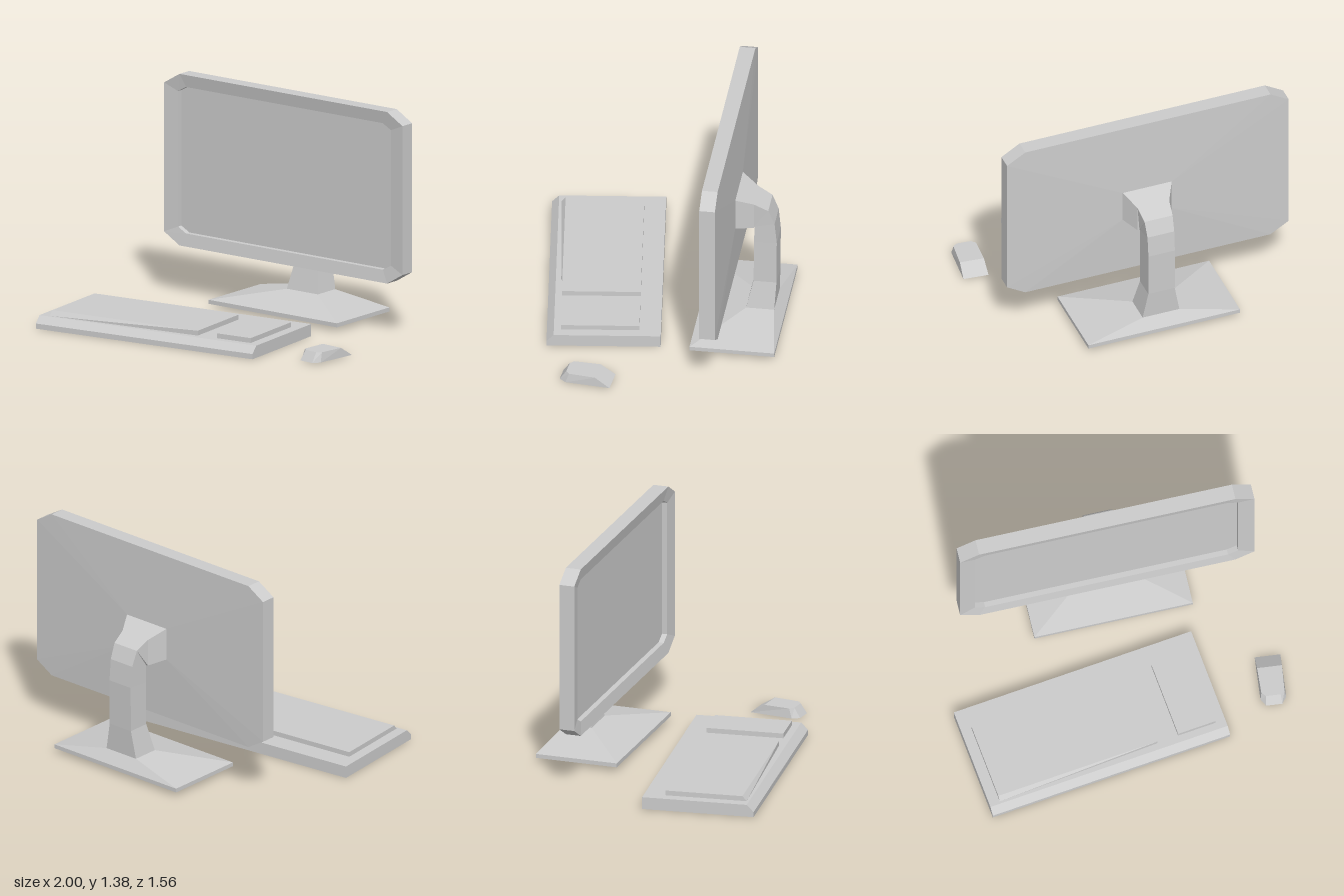
import * as THREE from 'three';

const material = new THREE.MeshStandardMaterial({ color: 0xcccccc, flatShading: true });

// Closed solid through rings of equal length, counter-clockwise seen from the last ring's side
function loft(name, rings) {
  const pos = [];
  const tri = (a, b, c) => {
    const [A, B, C] = [a, b, c].map((p) => new THREE.Vector3(...p));
    if (B.sub(A).cross(C.sub(A)).length() > 1e-7) pos.push(...a, ...b, ...c);
  };
  const n = rings[0].length;
  for (let r = 0; r < rings.length - 1; r++) {
    const p = rings[r], q = rings[r + 1];
    for (let i = 0; i < n; i++) {
      const j = (i + 1) % n;
      tri(p[i], p[j], q[j]);
      tri(p[i], q[j], q[i]);
    }
  }
  const first = rings[0], last = rings[rings.length - 1];
  for (let i = 1; i < n - 1; i++) {
    tri(first[0], first[i + 1], first[i]);
    tri(last[0], last[i], last[i + 1]);
  }
  const geometry = new THREE.BufferGeometry();
  geometry.setAttribute('position', new THREE.Float32BufferAttribute(pos, 3));
  geometry.computeVertexNormals();
  const mesh = new THREE.Mesh(geometry, material);
  mesh.name = name;
  return mesh;
}

// Horizontal rectangle at height y
const flatRect = (y, x0, x1, zBack, zFront) =>
  [[x0, y, zFront], [x1, y, zFront], [x1, y, zBack], [x0, y, zBack]];

// Upright rectangle at depth z with corners cut by cx and cy
const cutRect = (z, x0, x1, y0, y1, cx, cy) => [
  [x0 + cx, y0, z], [x1 - cx, y0, z], [x1, y0 + cy, z], [x1, y1 - cy, z],
  [x1 - cx, y1, z], [x0 + cx, y1, z], [x0, y1 - cy, z], [x0, y0 + cy, z],
];

function createMonitor() {
  const monitor = new THREE.Group();
  monitor.name = 'monitor';

  // Casing: raised back, rim, sloped bezel and recessed screen
  const outer = [-0.85, 0.963, 0.318, 1.378, 0.117, 0.07];
  const inner = [-0.755, 0.865, 0.395, 1.3, 0.062, 0.034];
  monitor.add(loft('screenCasing', [
    cutRect(-0.5, -0.09, 0.226, 0.708, 0.91, 0, 0),
    cutRect(-0.483, ...outer),
    cutRect(-0.388, ...outer),
    cutRect(-0.402, ...inner),
    cutRect(-0.435, ...inner),
  ]));

  // Neck sections: front z, front y, back z, back y, half width
  const mid = 0.068;
  const sections = [
    [-0.56, 0.12, -0.73, 0.12, 0.118],
    [-0.6, 0.295, -0.739, 0.295, 0.085],
    [-0.604, 0.57, -0.741, 0.58, 0.085],
    [-0.605, 0.685, -0.728, 0.715, 0.086],
    [-0.605, 0.686, -0.69, 0.808, 0.09],
    [-0.604, 0.687, -0.604, 0.855, 0.102],
    [-0.5, 0.708, -0.5, 0.91, 0.158],
  ];
  monitor.add(loft('standNeck', sections.map(([zf, yf, zb, yb, w]) =>
    [[mid - w, yf, zf], [mid + w, yf, zf], [mid + w, yb, zb], [mid - w, yb, zb]])));

  // Foot plate rising to the neck
  monitor.add(loft('standFoot', [
    flatRect(0.027, -0.42, 0.556, -0.784, -0.27),
    flatRect(0.052, -0.42, 0.556, -0.784, -0.27),
    flatRect(0.12, mid - 0.118, mid + 0.118, -0.73, -0.56),
  ]));
  return monitor;
}

function createKeyboard() {
  const keyboard = new THREE.Group();
  keyboard.name = 'keyboard';
  // Body with bevelled front edge
  keyboard.add(loft('keyboardBody', [
    flatRect(0, -0.758, 0.758, -0.343, 0.343),
    flatRect(0.032, -0.758, 0.758, -0.343, 0.343),
    flatRect(0.075, -0.758, 0.758, -0.343, 0.3),
  ]));
  // Main key block, its front flaring towards the left corner
  const base = flatRect(0.075, -0.693, 0.325, -0.214, 0.26);
  base[0][2] = 0.286;
  keyboard.add(loft('mainKeys', [base, flatRect(0.105, -0.693, 0.325, -0.214, 0.26)]));
  // Number pad
  keyboard.add(loft('numberPad', [0.075, 0.105].map((y) => flatRect(y, 0.457, 0.694, -0.214, 0.257))));
  keyboard.position.set(-0.2075, 0, 0.345);
  keyboard.rotation.y = 0.122;
  return keyboard;
}

function createMouse() {
  // Outline with a narrowed front: half widths at back, shoulder and nose
  const outline = (y, wb, zb, ws, zs, wn, zn) => [
    [-ws, y, zs], [-wn, y, zn], [wn, y, zn], [ws, y, zs], [wb, y, zb], [-wb, y, zb],
  ];
  const mouse = loft('mouse', [
    outline(0.004, 0.078, -0.157, 0.078, 0.115, 0.049, 0.158),
    outline(0.063, 0.075, -0.066, 0.07, 0.095, 0.044, 0.118),
  ]);
  mouse.position.set(0.905, 0, 0.3);
  mouse.rotation.y = -0.097;
  return mouse;
}

export function createModel() {
  const model = new THREE.Group();
  model.name = 'desktopSet';
  model.add(createMonitor(), createKeyboard(), createMouse());
  return model;
}
